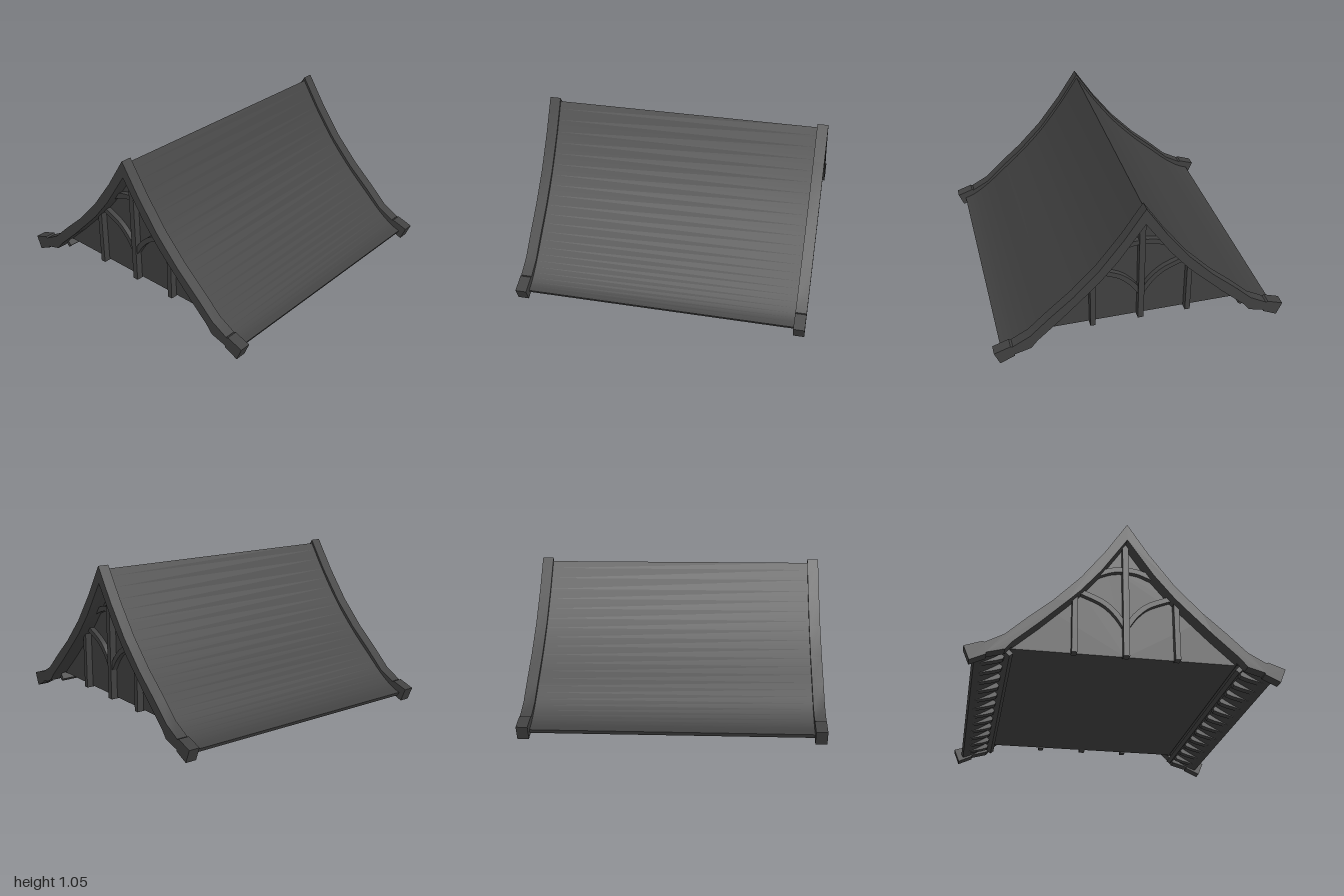
import * as THREE from 'three';
import { toCreasedNormals } from 'three/addons/utils/BufferGeometryUtils.js';

const material = new THREE.MeshStandardMaterial({ color: 0x404040, roughness: 0.9 });
const V = (p) => new THREE.Vector2(p[0], p[1]);
const mirrorX = (pts) => pts.map(([x, y]) => [-x, y]);

// Extrude an x/y outline between two z values
function slab(name, outline, z0, z1) {
  const geo = new THREE.ExtrudeGeometry(new THREE.Shape(outline.map(V)), { depth: z1 - z0, bevelEnabled: false });
  geo.translate(0, 0, z0);
  const mesh = new THREE.Mesh(toCreasedNormals(geo, 0.35), material);
  mesh.name = name;
  return mesh;
}

// Outline symmetric about x = 0, from upper and lower half profiles running outward
function symmetric(upper, lower) {
  const half = [...upper, ...[...lower].reverse()];
  const left = mirrorX(half).reverse().filter(([x]) => Math.abs(x) > 1e-6);
  return [...half, ...left];
}

function smooth(pts, n) {
  return new THREE.SplineCurve(pts.map(V)).getPoints(n).map((p) => [p.x, p.y]);
}

// Outline of a strip of constant width that follows a curve
function strip(pts, width, n = 10) {
  const curve = new THREE.SplineCurve(pts.map(V));
  const a = [], b = [];
  for (let i = 0; i <= n; i++) {
    const p = curve.getPoint(i / n), t = curve.getTangent(i / n);
    a.push([p.x - t.y * width / 2, p.y + t.x * width / 2]);
    b.unshift([p.x + t.y * width / 2, p.y - t.x * width / 2]);
  }
  return [...a, ...b];
}

export function createModel() {
  const model = new THREE.Group();
  model.name = 'gableRoof';
  const wallZ = 0.88, timberZ = 0.925, boardIn = 0.91, boardOut = 0.985;

  // Curved roof covering
  const roofTop = smooth([[0, 1.027], [0.14, 0.815], [0.3, 0.605], [0.47, 0.425], [0.63, 0.28], [0.76, 0.165], [0.87, 0.09], [0.945, 0.06]], 24);
  const roofUnder = smooth([[0, 0.98], [0.125, 0.79], [0.285, 0.58], [0.45, 0.405], [0.61, 0.26], [0.74, 0.14], [0.86, 0.065], [0.932, 0.035]], 24);
  model.add(slab('roofCovering', symmetric(roofTop, roofUnder), -boardIn - 0.01, boardIn + 0.01));

  // Closed attic body: gable walls and flat underside
  const bodyTop = [[0, 0.99], [0.125, 0.795], [0.285, 0.585], [0.45, 0.41], [0.61, 0.265], [0.725, 0.155]];
  model.add(slab('atticBody', symmetric(bodyTop, [[0, 0.143], [0.715, 0.143]]), -wallZ, wallZ));

  // Curved boards along both gable edges, with thicker tips at the eaves
  const boardTop = [[0, 1.053], [0.14, 0.84], [0.3, 0.63], [0.47, 0.452], [0.63, 0.312], [0.76, 0.19], [0.875, 0.127]];
  const boardUnder = [[0, 0.937], [0.17, 0.69], [0.3, 0.535], [0.38, 0.455], [0.55, 0.29], [0.71, 0.145], [0.755, 0.09], [0.87, 0.058]];
  const tip = [[0.868, 0.122], [0.89, 0.131], [1, 0.093], [0.963, 0.003], [0.865, 0.048]];

  // Gable timbers
  const postL = [[0.31, 0.135], [0.345, 0.135], [0.345, 0.51], [0.31, 0.55]];
  const brace = strip([[0.01, 0.35], [0.065, 0.43], [0.15, 0.505], [0.29, 0.565]], 0.034);
  const collar = strip([[-0.18, 0.705], [-0.09, 0.742], [0, 0.752], [0.09, 0.742], [0.18, 0.705]], 0.034, 16);
  const kingPost = [[-0.02, 0.135], [0.02, 0.135], [0.02, 0.95], [-0.02, 0.95]];

  for (const end of [1, -1]) {
    const span = (a, b) => (end > 0 ? [a, b] : [-b, -a]);
    const gable = new THREE.Group();
    gable.name = end > 0 ? 'frontGable' : 'backGable';
    const [b0, b1] = span(boardIn, boardOut);
    const [t0, t1] = span(wallZ - 0.01, timberZ);
    const [c0, c1] = span(wallZ - 0.01, timberZ - 0.01);
    gable.add(slab('edgeBoard', symmetric(boardTop, boardUnder), b0, b1));
    // Inner rafter closing the gap between board and wall
    const rafterTop = bodyTop.slice(0, 5).concat([[0.73, 0.15]]);
    gable.add(slab('innerRafter', symmetric(rafterTop, boardUnder.slice(0, 6)), ...span(wallZ - 0.005, boardIn + 0.005)));
    gable.add(slab('kingPost', kingPost, t0, t1));
    gable.add(slab('collarBeam', collar, c0, c1));
    for (const flip of [(p) => p, mirrorX]) {
      gable.add(slab('boardTip', flip(tip), b0, b1));
      gable.add(slab('sidePost', flip(postL), t0, t1));
      gable.add(slab('curvedBrace', flip(brace), c0, c1));
    }
    model.add(gable);
  }

  // Eaves: long wall plate and a row of small brackets under each overhang
  const plate = [[0.7, 0.1], [0.722, 0.08], [0.775, 0.128], [0.75, 0.15]];
  const bracket = [[0.735, 0.145], [0.755, 0.088], [0.8, 0.072], [0.85, 0.06], [0.905, 0.045], [0.86, 0.075]];
  const count = 12;
  for (const flip of [(p) => p, mirrorX]) {
    const eave = new THREE.Group();
    eave.name = flip === mirrorX ? 'rightEave' : 'leftEave';
    eave.add(slab('wallPlate', flip(plate), -boardIn, boardIn));
    for (let i = 0; i < count; i++) {
      const z = -0.825 + (1.65 * i) / (count - 1);
      eave.add(slab('eaveBracket', flip(bracket), z - 0.025, z + 0.025));
    }
    model.add(eave);
  }
  return model;
}
